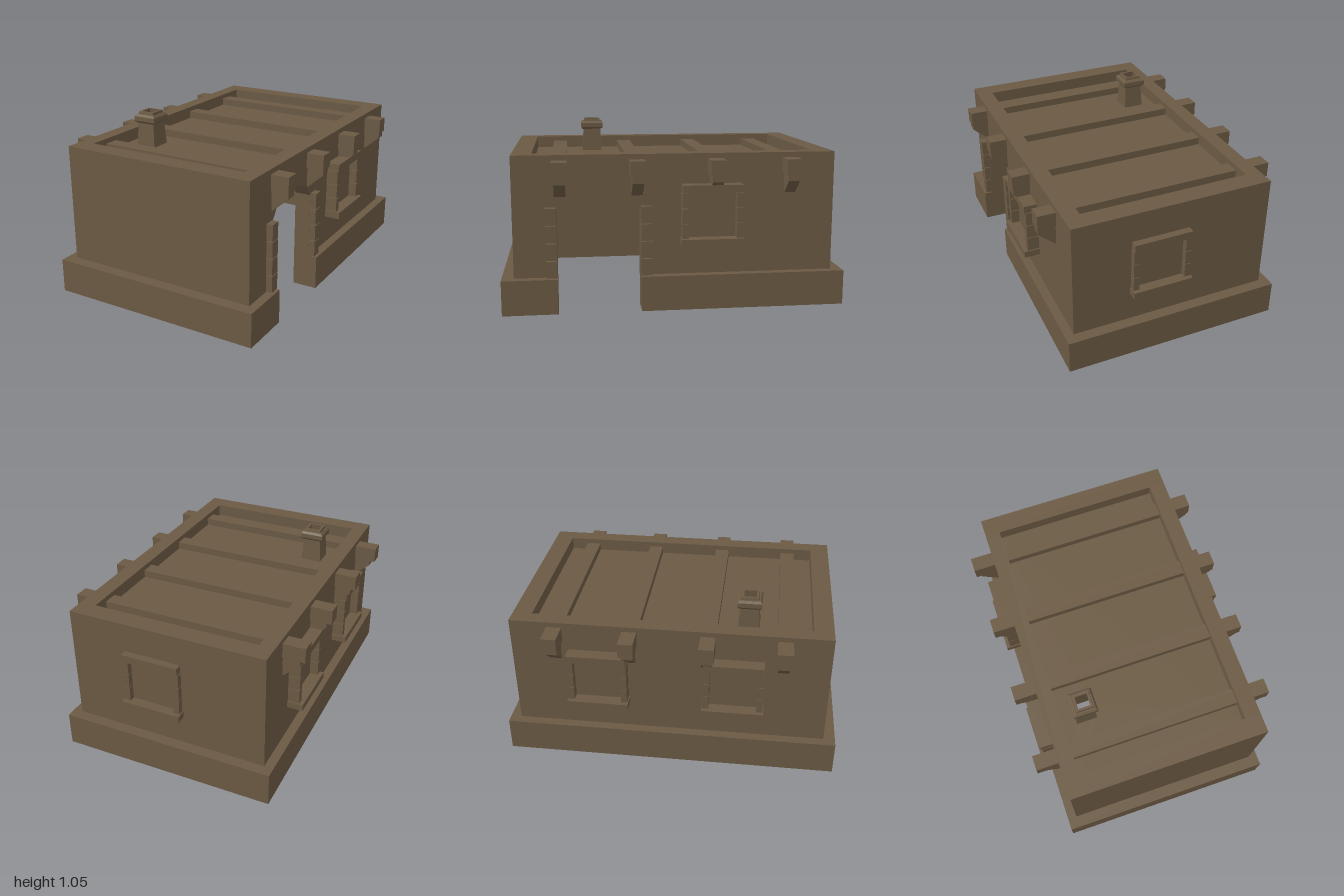
import * as THREE from 'three';

const adobe = new THREE.MeshStandardMaterial({ color: 0x6b5a44 });
adobe.name = 'brown adobe';

function add(parent, name, geometry) {
  const mesh = new THREE.Mesh(geometry, adobe);
  mesh.name = name;
  parent.add(mesh);
  return mesh;
}

// Box given by its lower and upper limits on each axis
function box(parent, name, [x0, x1], [y0, y1], [z0, z1]) {
  const g = new THREE.BoxGeometry(x1 - x0, y1 - y0, z1 - z0);
  g.translate((x0 + x1) / 2, (y0 + y1) / 2, (z0 + z1) / 2);
  return add(parent, name, g);
}

// Outline in (z, y), extruded from x inwards by depth
function sideExtrude(points, x, depth) {
  const shape = new THREE.Shape(points.map(p => new THREE.Vector2(...p)));
  return new THREE.ExtrudeGeometry(shape, { depth, bevelEnabled: false })
    .rotateY(-Math.PI / 2).translate(x, 0, 0);
}

// Framed window that faces +z, with its origin on the wall at ground level
function makeWindow(x, z, turn) {
  const g = new THREE.Group();
  g.name = 'window';
  box(g, 'windowPane', [-0.15, 0.15], [0.41, 0.70], [-0.02, 0.02]);
  box(g, 'windowSill', [-0.182, 0.182], [0.385, 0.425], [0, 0.094]);
  box(g, 'windowLintel', [-0.174, 0.174], [0.69, 0.735], [0, 0.078]);
  for (const s of [-1, 1]) {
    for (let i = 0; i < 3; i++) {
      const y = 0.427 + i * 0.088;
      const c = s * 0.158;
      box(g, 'windowStone', [c - 0.018, c + 0.018], [y, y + 0.084], [0, 0.07]);
    }
  }
  g.position.set(x, 0, z);
  g.rotation.y = turn;
  return g;
}

export function createModel() {
  const house = new THREE.Group();
  house.name = 'adobeHouse';

  // Hollow plinth: thin skirt, ledge on top, gap at the doorway
  const T = 0.006, H = 0.205;
  const plinth = new THREE.Group();
  plinth.name = 'plinth';
  house.add(plinth);
  box(plinth, 'frontSkirt', [-0.645, 0.665], [0, H], [1 - T, 1]);
  box(plinth, 'backSkirt', [-0.645, 0.665], [0, H], [-1, -1 + T]);
  box(plinth, 'leftOutsideSkirt', [-0.645, -0.645 + T], [0, H], [-1, 1]);
  box(plinth, 'frontLedge', [-0.645, 0.665], [H - T, H], [0.815, 1]);
  box(plinth, 'backLedge', [-0.645, 0.665], [H - T, H], [-1, -0.82]);
  box(plinth, 'sideLedge', [-0.645, -0.5], [H - T, H], [-0.82, 0.815]);
  for (const [z0, z1] of [[-1, 0.2], [0.68, 1]]) {
    box(plinth, 'doorSideSkirt', [0.665 - T, 0.665], [0, H], [z0, z1]);
    box(plinth, 'doorSideLedge', [0.515, 0.665], [H - T, H], [z0, z1]);
  }
  for (const z of [0.2 - T, 0.68]) {
    box(plinth, 'doorJamb', [0.515, 0.665], [0, H], [z, z + T]);
  }

  // Walls, the one at +x with an arched doorway
  const top = 0.91;
  box(house, 'frontWall', [-0.59, 0.612], [H, top], [0.815, 0.93]);
  box(house, 'backWall', [-0.59, 0.612], [H, top], [-0.935, -0.82]);
  box(house, 'plainSideWall', [-0.59, -0.5], [H, top], [-0.82, 0.815]);
  add(house, 'doorwayWall', sideExtrude([
    [-0.82, H], [0.2, H], [0.2, 0.6], [0.26, 0.68], [0.44, 0.735],
    [0.62, 0.68], [0.68, 0.6], [0.68, H], [0.815, H], [0.815, top], [-0.82, top],
  ], 0.612, 0.097));

  // Sunken flat roof with a hole below the chimney
  const cx = -0.355, cz = 0.445;
  const roof = new THREE.Shape([[-0.5, -0.815], [0.515, -0.815], [0.515, 0.82], [-0.5, 0.82]]
    .map(p => new THREE.Vector2(...p)));
  const h = 0.055;
  roof.holes.push(new THREE.Path([[-h, -h], [-h, h], [h, h], [h, -h]]
    .map(([a, b]) => new THREE.Vector2(cx + a, -cz + b))));
  add(house, 'roof', new THREE.ExtrudeGeometry(roof, { depth: 0.01, bevelEnabled: false })
    .rotateX(-Math.PI / 2).translate(0, 0.825, 0));

  // Roof beams running through the walls, with a bracket under each end
  for (const z of [0.66, 0.222, -0.232, -0.67]) {
    box(house, 'roofBeam', [-0.723, 0.718], [0.79, 0.88], [z - 0.044, z + 0.044]);
    for (const s of [-1, 1]) {
      const wall = s > 0 ? 0.612 : -0.59;
      const profile = [[-0.02, 0.79], [-0.02, 0.672], [0, 0.675], [0.09, 0.755], [0.105 - 0.015, 0.79]];
      const shape = new THREE.Shape(profile.map(([a, b]) => new THREE.Vector2(wall + s * (a + 0.01), b)));
      add(house, 'beamBracket', new THREE.ExtrudeGeometry(shape, { depth: 0.065, bevelEnabled: false })
        .translate(0, 0, z - 0.0325));
    }
  }

  // Square chimney: outer profile up, inner flue back down (half-widths)
  const outline = [[0.056, 0.825], [0.064, 0.83], [0.055, 0.978], [0.063, 0.978], [0.072, 0.99],
    [0.072, 1.018], [0.06, 1.03], [0.053, 1.03], [0.05, 1.046], [0.036, 1.046], [0.056, 0.825]];
  const chimney = new THREE.LatheGeometry(
    outline.map(([r, y]) => new THREE.Vector2(r * Math.SQRT2, y)), 4, Math.PI / 4).toNonIndexed();
  chimney.computeVertexNormals();
  add(house, 'chimney', chimney).position.set(cx, 0, cz);

  // Stones stacked on both sides of the doorway
  for (const z of [0.168, 0.714]) {
    for (let i = 0; i < 4; i++) {
      const y = 0.21 + i * 0.102;
      box(house, 'doorStone', [0.6, 0.65], [y, y + 0.097], [z - 0.031, z + 0.031]);
    }
  }

  // Windows
  house.add(
    makeWindow(0.612, -0.208, Math.PI / 2),
    makeWindow(-0.59, -0.422, -Math.PI / 2),
    makeWindow(-0.59, 0.378, -Math.PI / 2),
    makeWindow(0.09, -0.9, Math.PI),
  );
  return house;
}
